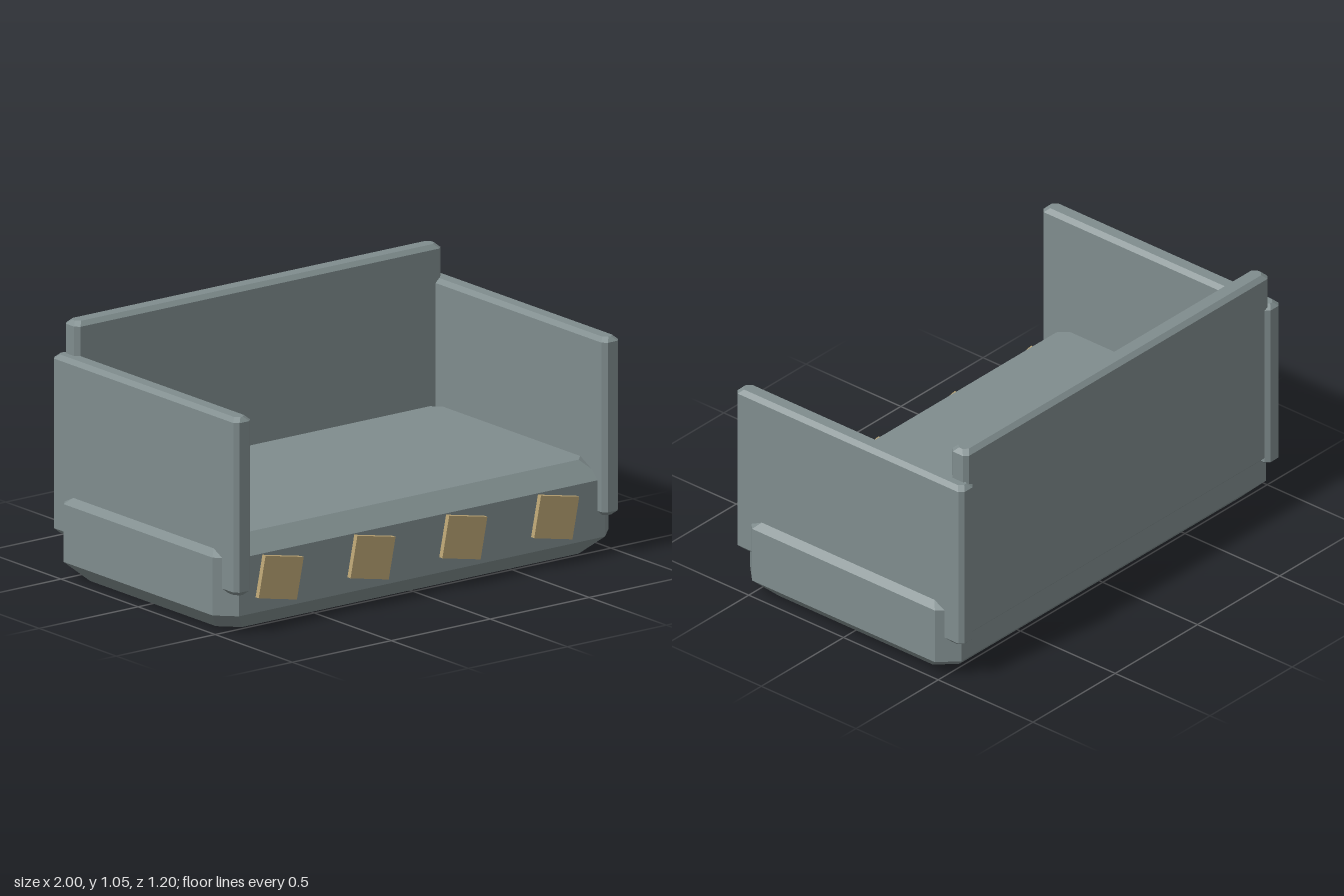
import * as THREE from 'three';
import { ConvexGeometry } from 'three/addons/geometries/ConvexGeometry.js';

// Box with all edges and corners cut by c: octagonal rings, inset at top and bottom
function chamferedBox(w, h, d, c) {
  const points = [];
  for (const [y, inset] of [[0, c], [c, 0], [h - c, 0], [h, c]]) {
    const x = w / 2 - inset, z = d / 2 - inset;
    for (const sx of [-1, 1]) for (const sz of [-1, 1]) {
      points.push(new THREE.Vector3(sx * x, y, sz * (z - c)));
      points.push(new THREE.Vector3(sx * (x - c), y, sz * z));
    }
  }
  return new ConvexGeometry(points);
}

export function createModel() {
  const model = new THREE.Group();
  const slate = new THREE.MeshStandardMaterial({ color: 0x7f8c8d, flatShading: true });
  const gold = new THREE.MeshStandardMaterial({ color: 0xb8a272, flatShading: true });

  function add(name, geometry, material, x, y, z) {
    const mesh = new THREE.Mesh(geometry, material);
    mesh.name = name;
    mesh.position.set(x, y, z);
    model.add(mesh);
    return mesh;
  }

  // Thick seat block
  add('seatBase', chamferedBox(2, 0.39, 1.115, 0.075), slate, 0, 0, 0);

  // Side panels
  const panel = chamferedBox(0.085, 0.74, 1.2, 0.018);
  add('leftPanel', panel, slate, 0.93, 0.17, 0);
  add('rightPanel', panel, slate, -0.93, 0.17, 0);

  // Taller back panel
  add('backPanel', chamferedBox(1.85, 0.86, 0.09, 0.018), slate, 0, 0.19, -0.538);

  // Tilted tiles along the front
  const tile = new THREE.BoxGeometry(0.197, 0.174, 0.05);
  for (let i = 0; i < 4; i++) {
    add('frontTile' + (i + 1), tile, gold, -0.727 + i * 0.464, 0.205, 0.553).rotation.z = -0.2;
  }
  return model;
}
